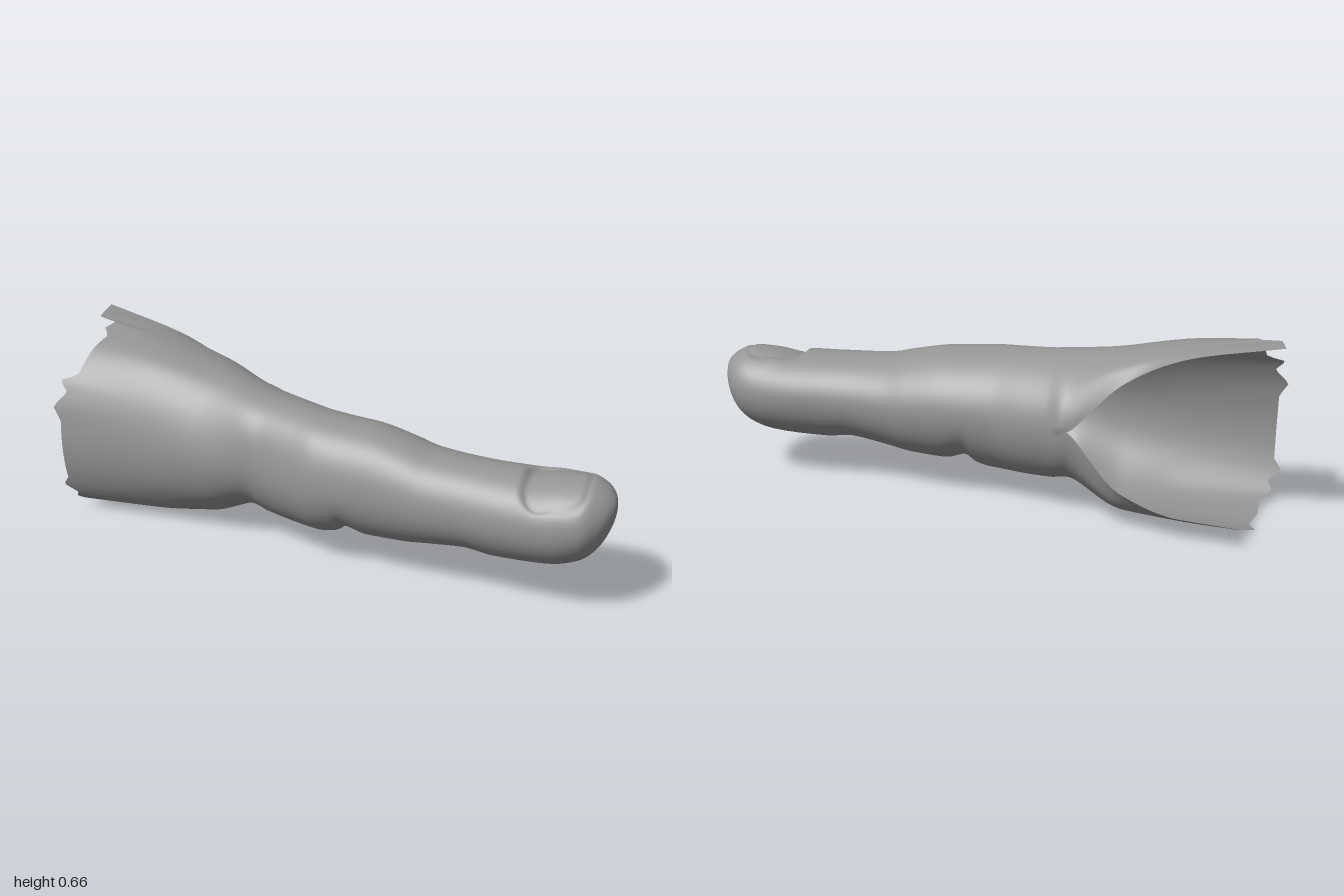
import * as THREE from 'three';

const AROUND = 120, STEPS = 10;

// Open base cross-sections: [y, z] from the upper flap edge, over the top and front, to the lower flap edge
const base = [
  [-0.95, [[.655, -.3], [.65, -.2], [.632, -.12], [.594, 0], [.48, .1], [.3, .14], [.14, .12], [.035, .06], [.003, -.06], [.006, -.2], [.07, -.37]]],
  [-0.65, [[.59, -.25], [.603, -.19], [.607, -.07], [.575, .03], [.46, .12], [.3, .16], [.15, .135], [.035, .05], [.013, -.08], [.03, -.22], [.075, -.325]]],
  [-0.45, [[.49, -.228], [.54, -.188], [.57, -.07], [.545, .04], [.45, .13], [.3, .177], [.15, .14], [.045, .03], [.027, -.1], [.07, -.23], [.14, -.285]]],
];

// Closed finger cross-sections: x, top, middle height, bottom, front, back
const finger = [
  [-.27, .535, .32, .1, .198, -.225], [-.2, .525, .31, .087, .213, -.19], [-.1, .517, .303, .083, .247, -.15],
  [0, .51, .3, .085, .28, -.112], [.06, .505, .3, .098, .287, -.1], [.105, .502, .3, .125, .291, -.092],
  [.18, .497, .299, .106, .296, -.08], [.3, .474, .297, .112, .308, -.05], [.4, .452, .296, .128, .32, -.02],
  [.53, .446, .296, .146, .336, .01], [.62, .444, .296, .137, .348, .02], [.72, .444, .297, .14, .359, .025],
  [.82, .452, .3, .15, .367, .033], [.9, .45, .312, .177, .357, .052], [.95, .433, .328, .222, .326, .083],
  [.98, .411, .346, .28, .29, .13], [.995, .39, .36, .33, .255, .185], [1, .37, .37, .37, .225, .225],
];

// Torn end of the base: [u around the section, x]
const tear = [[0, -.96], [.12, -.95], [.15, -.88], [.2, -.9], [.24, -.87], [.37, -.92], [.385, -.985], [.41, -.95],
  [.44, -1], [.465, -.97], [.6, -.965], [.63, -.99], [.66, -.945], [.69, -.96], [.72, -.92], [.8, -.91], [.86, -.88],
  [.91, -.9], [.94, -.84], [1, -.84]];

function tearX(u) {
  let k = 0;
  while (k < tear.length - 2 && u > tear[k + 1][0]) k++;
  const [u0, x0] = tear[k], [u1, x1] = tear[k + 1];
  return x0 + (x1 - x0) * (u - u0) / (u1 - u0);
}

// Every station becomes a ring of AROUND + 1 points
function makeRings() {
  const open = base.map(([x, pts], k) => {
    const curve = new THREE.CatmullRomCurve3(pts.map(([y, z]) => new THREE.Vector3(x, y, z)));
    return Array.from({ length: AROUND + 1 }, (_, j) => {
      const p = curve.getPoint(j / AROUND);
      if (k === 0) p.x = tearX(j / AROUND);
      return p.toArray();
    });
  });
  const closed = finger.map(([x, top, middle, bottom, front, back]) =>
    Array.from({ length: AROUND + 1 }, (_, j) => {
      const a = Math.PI * 2 * j / AROUND, s = Math.sin(a);
      const lean = .028 * (1 - x) * Math.max(s, 0) ** 2; // the top leans to the front
      return [x, middle + s * (s > 0 ? top - middle : middle - bottom),
        (front + back) / 2 - Math.cos(a) * (front - back) / 2 + lean];
    }));
  return [...open, ...closed];
}

// Smooth interpolation that never overshoots its control values
function smooth(v, k, t) {
  const slope = i => {
    if (i <= 0) return v[1] - v[0];
    if (i >= v.length - 1) return v[i] - v[i - 1];
    const a = v[i] - v[i - 1], b = v[i + 1] - v[i];
    return a * b <= 0 ? 0 : 2 * a * b / (a + b);
  };
  const t2 = t * t, t3 = t2 * t;
  return (2 * t3 - 3 * t2 + 1) * v[k] + (t3 - 2 * t2 + t) * slope(k)
    + (3 * t2 - 2 * t3) * v[k + 1] + (t3 - t2) * slope(k + 1);
}

// Depth of the nail bed and the groove around it
function nailDepth(x, y, z) {
  if (y < .34 || x < .6) return 0;
  const qx = Math.abs(x - .81) - .04, qz = Math.abs(z - .235) - .045;
  const d = Math.hypot(Math.max(qx, 0), Math.max(qz, 0)) + Math.min(Math.max(qx, qz), 0) - .06;
  const inside = THREE.MathUtils.smoothstep(-d, -.008, .01);
  const towardTip = THREE.MathUtils.clamp((x - .71) / .19, 0, 1);
  return inside * .018 * (1 - towardTip) + .005 * Math.exp(-((d / .011) ** 2));
}

function fingerGeometry() {
  const rings = makeRings();
  const rows = (rings.length - 1) * STEPS, w = AROUND + 1;
  const pos = [], index = [];
  const columns = Array.from({ length: w }, (_, j) => [0, 1, 2].map(c => rings.map(r => r[j][c])));
  for (let i = 0; i <= rows; i++) {
    const k = Math.min(Math.floor(i / STEPS), rings.length - 2), t = i / STEPS - k;
    const row = columns.map(col => col.map(v => smooth(v, k, t)));
    // weld the back seam where the finger is closed
    if (i >= base.length * STEPS) {
      const mid = row[0].map((v, c) => (v + row[AROUND][c]) / 2);
      row[0] = mid;
      row[AROUND] = mid;
    }
    for (const [x, y, z] of row) pos.push(x, y - nailDepth(x, y, z), z);
  }
  for (let i = 0; i < rows; i++) {
    for (let j = 0; j < AROUND; j++) {
      const a = i * w + j, b = a + 1, c = a + w, d = c + 1;
      index.push(a, b, c, b, d, c);
    }
  }
  const g = new THREE.BufferGeometry();
  g.setAttribute('position', new THREE.Float32BufferAttribute(pos, 3));
  g.setIndex(index);
  g.computeVertexNormals();

  // share normals across the seam, and point the tip's normals outward
  const n = g.attributes.normal, p = new THREE.Vector3(), q = new THREE.Vector3();
  for (let i = base.length * STEPS + 1; i <= rows; i++) {
    const a = i * w, b = a + AROUND;
    p.fromBufferAttribute(n, a).add(q.fromBufferAttribute(n, b)).normalize();
    n.setXYZ(a, p.x, p.y, p.z);
    n.setXYZ(b, p.x, p.y, p.z);
  }
  for (let j = 0; j < w; j++) n.setXYZ(rows * w + j, 1, 0, 0);
  return g;
}

export function createModel() {
  const model = new THREE.Group();
  model.name = 'fingerModel';
  const skin = new THREE.MeshStandardMaterial({ color: 0x959595, side: THREE.DoubleSide });
  const mesh = new THREE.Mesh(fingerGeometry(), skin);
  mesh.name = 'fingerSkin';
  model.add(mesh);
  return model;
}
